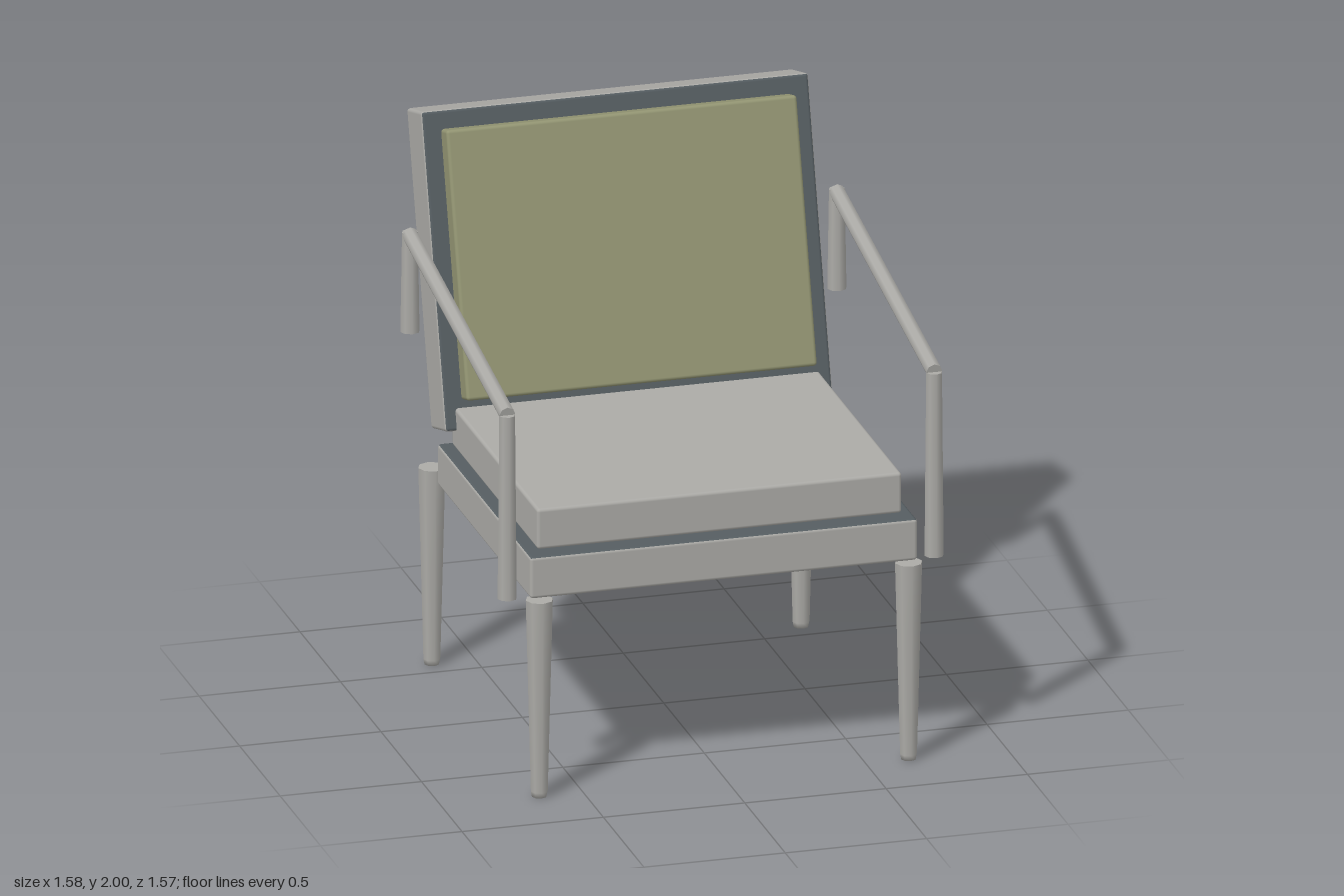
import * as THREE from 'three';
import { RoundedBoxGeometry } from 'three/addons/geometries/RoundedBoxGeometry.js';

const material = (name, color) => {
  const m = new THREE.MeshStandardMaterial({ color });
  m.name = name;
  return m;
};

export function createModel() {
  const grey = material('warm grey', 0xabaaa6);
  const olive = material('olive fabric', 0x929472);
  const dark = material('dark slate', 0x555d61);
  const model = new THREE.Group();
  model.name = 'armchair';

  const add = (name, geometry, mat, x, y, z, tilt = 0) => {
    const mesh = new THREE.Mesh(geometry, mat);
    mesh.name = name;
    mesh.position.set(x, y, z);
    mesh.rotation.x = tilt;
    model.add(mesh);
    return mesh;
  };
  const block = (w, h, d) => new RoundedBoxGeometry(w, h, d, 2, 0.012);

  // Seat: base with a dark upper face, loose cushion on top
  const topDark = [grey, grey, dark, grey, grey, grey];
  add('seatBase', block(1.37, 0.15, 1.15), topDark, 0, 0.793, 0.17);
  add('seatCushion', block(1.29, 0.147, 1.055), grey, 0, 0.947, 0.163);

  // Reclined back: shell with a dark front face, olive pad sunk into it
  const recline = -0.279;
  const frontDark = [grey, grey, grey, grey, dark, grey];
  add('backShell', block(1.37, 1.097, 0.19), frontDark, 0, 1.447, -0.544, recline);
  add('backCushion', block(1.24, 0.927, 0.1), olive, 0, 1.498, -0.438, recline);

  // Legs: tapered, with a slightly eased foot
  const legProfile = [[0, 0], [0.026, 0], [0.03, 0.02], [0.048, 0.715]]
    .map(([r, y]) => new THREE.Vector2(r, y));
  const legGeometry = new THREE.LatheGeometry(legProfile, 8);
  const legCap = new THREE.CircleGeometry(0.048, 8).rotateX(-Math.PI / 2);

  // Arms: front post, short rear post and sloping rail
  const frontPost = new THREE.CylinderGeometry(0.028, 0.034, 0.665, 8);
  const rearPost = new THREE.CylinderGeometry(0.028, 0.034, 0.36, 8);
  const railStart = new THREE.Vector2(0.705, 1.382);
  const railEnd = new THREE.Vector2(-0.5, 1.6);
  const span = railEnd.clone().sub(railStart);
  const rail = new THREE.CylinderGeometry(0.028, 0.028, span.length(), 8);

  for (const [side, s] of [['left', 1], ['right', -1]]) {
    for (const [place, z] of [['Front', 0.743], ['Rear', -0.583]]) {
      add(side + place + 'Leg', legGeometry, grey, s * 0.653, 0, z);
      add(side + place + 'LegTop', legCap, grey, s * 0.653, 0.715, z);
    }
    add(side + 'ArmFrontPost', frontPost, grey, s * 0.755, 1.0475, 0.702);
    add(side + 'ArmRearPost', rearPost, grey, s * 0.755, 1.43, -0.498);
    add(side + 'ArmRail', rail, grey, s * 0.755,
      (railStart.y + railEnd.y) / 2, (railStart.x + railEnd.x) / 2,
      Math.atan2(span.x, span.y));
  }
  return model;
}
